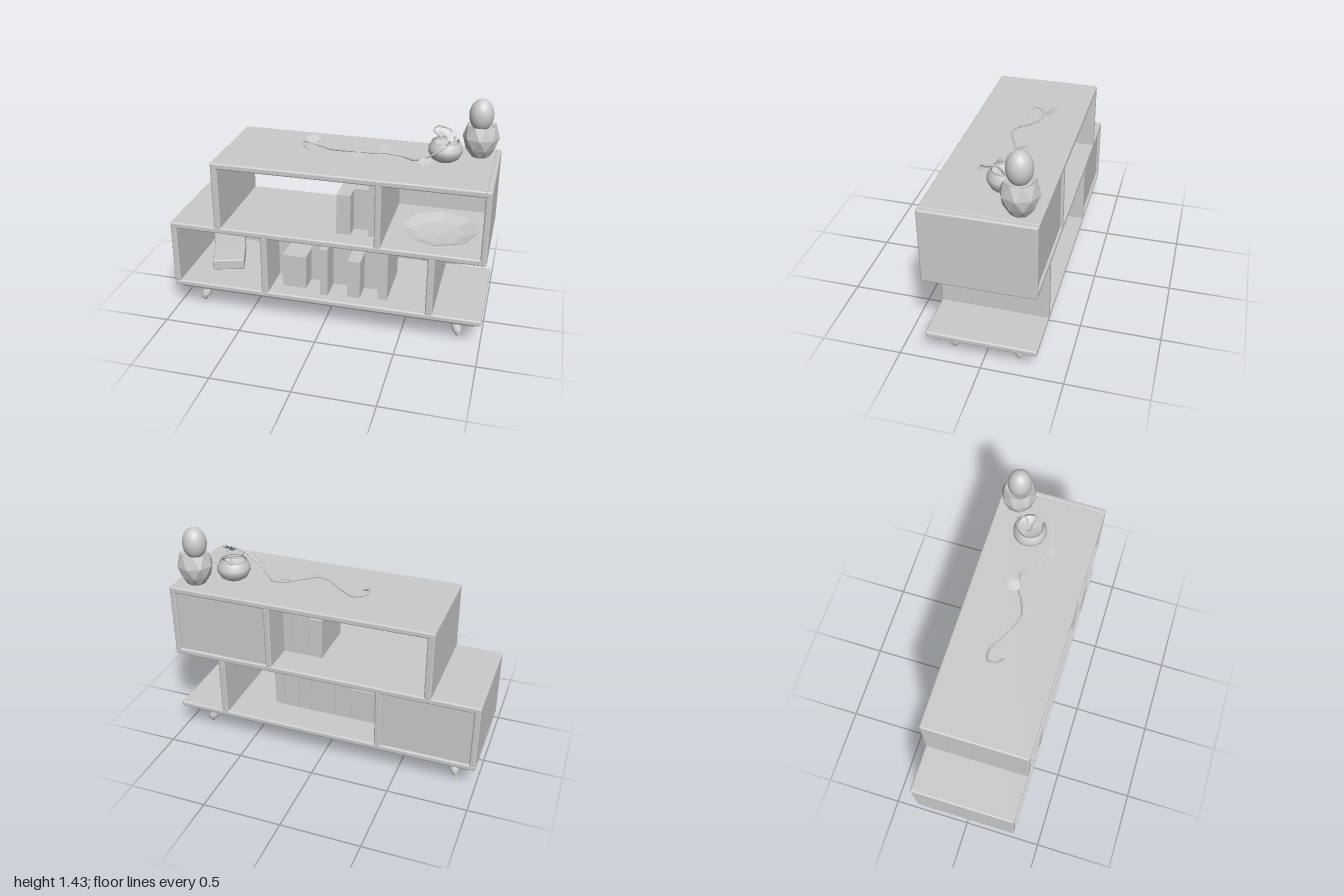
import * as THREE from 'three';
import { RoundedBoxGeometry } from 'three/addons/geometries/RoundedBoxGeometry.js';

const mat = new THREE.MeshStandardMaterial({ color: 0xcccccc });
const thin = new THREE.MeshStandardMaterial({ color: 0xcccccc, side: THREE.DoubleSide });
const faceted = new THREE.MeshStandardMaterial({ color: 0xcccccc, flatShading: true, side: THREE.DoubleSide });
const v = (x, y, z) => new THREE.Vector3(x, y, z);

export function createModel() {
  const model = new THREE.Group();
  model.name = 'shelfUnit';

  const add = (name, geometry, material = mat) => {
    const mesh = new THREE.Mesh(geometry, material);
    mesh.name = name;
    model.add(mesh);
    return mesh;
  };
  // Box given by its limits on each axis, with optional rounded edges
  const block = (name, x0, x1, y0, y1, z0, z1, r = 0) => {
    const size = [x1 - x0, y1 - y0, z1 - z0];
    const geo = r ? new RoundedBoxGeometry(...size, 2, r) : new THREE.BoxGeometry(...size);
    const mesh = add(name, geo);
    mesh.position.set((x0 + x1) / 2, (y0 + y1) / 2, (z0 + z1) / 2);
    return mesh;
  };
  const board = (name, x0, x1, y0, y1) => block(name, x0, x1, y0, y1, -0.34, 0.33, 0.011);

  // Horizontal boards and uprights
  board('baseBoard', -1, 1, 0.165, 0.203);
  board('middleShelf', -1, 1, 0.585, 0.625);
  board('topBoard', -0.7, 0.97, 1.025, 1.065);
  board('lowerLeftSide', -1, -0.96, 0.195, 0.6);
  board('lowerDivider', -0.4, -0.355, 0.195, 0.595);
  board('lowerRightSide', 0.655, 0.7, 0.195, 0.595);
  board('upperLeftSide', -0.7, -0.655, 0.615, 1.045);
  board('upperDivider', 0.325, 0.365, 0.615, 1.035);
  board('upperRightSide', 0.962, 1, 0.585, 1.065);

  // Back panels of the two closed compartments
  block('lowerBackPanel', -0.965, -0.39, 0.2, 0.59, -0.325, -0.31);
  block('upperBackPanel', 0.36, 0.965, 0.62, 1.03, -0.325, -0.31);

  // Plinth under the base, narrowing downward
  const plinth = new THREE.BoxGeometry(1.96, 0.034, 0.62).toNonIndexed();
  const pp = plinth.attributes.position;
  for (let i = 0; i < pp.count; i++) {
    if (pp.getY(i) < 0) pp.setXYZ(i, pp.getX(i) * 0.975, pp.getY(i), pp.getZ(i) * 0.945);
  }
  plinth.computeVertexNormals();
  add('plinth', plinth).position.set(0, 0.152, -0.005);

  // Splayed tapered legs
  const legProfile = [[0, 0], [0.017, 0], [0.03, 0.035], [0.037, 0.165], [0, 0.165]]
    .map(([r, y]) => new THREE.Vector2(r, y));
  const legGeo = new THREE.LatheGeometry(legProfile, 12);
  for (const sx of [-1, 1]) {
    for (const sz of [-1, 1]) {
      const leg = add((sz > 0 ? 'front' : 'back') + (sx > 0 ? 'Left' : 'Right') + 'Leg', legGeo);
      leg.position.set(sx * 0.863, 0.006, sz * 0.21 - 0.002);
      leg.quaternion.setFromUnitVectors(v(0, 1, 0), v(-sx * 0.062, 0.14, -sz * 0.068).normalize());
    }
  }

  // Rows of books: left, right, top, front
  const lowerBooks = [
    [-0.355, -0.29, 0.535, 0.08], [-0.288, -0.132, 0.43, 0.22], [-0.13, -0.027, 0.53, 0.1],
    [-0.025, 0.023, 0.53, 0.27], [0.025, 0.143, 0.495, 0.12], [0.145, 0.228, 0.46, 0.25],
    [0.23, 0.338, 0.47, 0.12], [0.34, 0.4, 0.545, 0.23]];
  const upperBooks = [[0.065, 0.153, 0.89, 0.21], [0.155, 0.26, 0.9, 0.12], [0.262, 0.327, 0.975, 0.2]];
  for (const [x0, x1, y1, z1] of lowerBooks) block('lowerBook', x0, x1, 0.2, y1, -0.13, z1);
  for (const [x0, x1, y1, z1] of upperBooks) block('upperBook', x0, x1, 0.622, y1, -0.13, z1);

  // Two boxes in the left compartment: one flat, one leaning
  const flat = add('flatBox', new RoundedBoxGeometry(0.21, 0.073, 0.21, 1, 0.008));
  flat.position.set(-0.735, 0.238, 0.02);
  flat.rotation.y = 0.3;
  const leaning = add('leaningBox', new RoundedBoxGeometry(0.21, 0.245, 0.05, 1, 0.008));
  leaning.position.set(-0.785, 0.33, -0.13);
  leaning.rotation.set(-0.22, 0.25, 0.04, 'YXZ');

  // Shallow dish
  const dish = [[0, 0.63], [0.09, 0.63], [0.16, 0.645], [0.25, 0.678], [0.245, 0.68], [0.155, 0.652], [0, 0.64]]
    .map(([r, y]) => new THREE.Vector2(r, y));
  add('dish', new THREE.LatheGeometry(dish, 8), faceted).position.set(0.69, 0, 0.09);

  // Round plant pot with soil
  const pot = [[0, 1.065], [0.055, 1.066], [0.085, 1.085], [0.105, 1.125], [0.104, 1.15], [0.085, 1.19],
    [0.076, 1.188], [0.09, 1.155], [0, 1.15]].map(([r, y]) => new THREE.Vector2(r, y));
  add('plantPot', new THREE.LatheGeometry(pot, 28), thin).position.set(0.675, 0, -0.08);

  // Faceted planter: twisted rings joined by triangles
  const rings = [[0.06, 1.065], [0.095, 1.12], [0.113, 1.19], [0.09, 1.266], [0.06, 1.25]];
  const sides = 8;
  const corner = (j, i) => {
    const a = ((i + (j % 2) / 2) / sides) * Math.PI * 2;
    return [Math.sin(a) * rings[j][0], rings[j][1], Math.cos(a) * rings[j][0]];
  };
  const tris = [];
  for (let i = 0; i < sides; i++) {
    tris.push(0, 1.065, 0, ...corner(0, i + 1), ...corner(0, i));
    tris.push(0, 1.25, 0, ...corner(4, i), ...corner(4, i + 1));
    for (let j = 0; j < rings.length - 1; j++) {
      const odd = j % 2;
      tris.push(...corner(j, i), ...corner(j, i + 1), ...corner(j + 1, i + odd));
      tris.push(...corner(j, i + 1 - odd), ...corner(j + 1, i + 1), ...corner(j + 1, i));
    }
  }
  const planter = new THREE.BufferGeometry();
  planter.setAttribute('position', new THREE.Float32BufferAttribute(tris, 3));
  planter.computeVertexNormals();
  add('facetedPlanter', planter, faceted).position.set(0.873, 0, -0.212);

  // Egg-shaped cactus
  const cactus = add('cactus', new THREE.SphereGeometry(0.075, 24, 16));
  cactus.scale.y = 1.35;
  cactus.position.set(0.866, 1.328, -0.207);

  // Trailing vine and curled stem
  const tube = (name, pts, n) => add(name,
    new THREE.TubeGeometry(new THREE.CatmullRomCurve3(pts.map((p) => v(...p))), n, 0.006, 6));
  tube('trailingVine', [
    [-0.16, 1.08, 0.01], [-0.21, 1.11, -0.03], [-0.2, 1.1, -0.08], [-0.13, 1.08, -0.09], [-0.04, 1.08, -0.04],
    [0.05, 1.1, 0.01], [0.13, 1.11, 0.03], [0.22, 1.1, 0], [0.32, 1.085, -0.05], [0.42, 1.074, -0.05],
    [0.5, 1.085, 0.02], [0.57, 1.12, 0.06], [0.66, 1.18, 0.065], [0.73, 1.225, 0.02],
    [0.73, 1.235, -0.04], [0.68, 1.15, -0.08]], 110);
  tube('curledStem', [
    [0.66, 1.15, -0.08], [0.72, 1.2, -0.12], [0.68, 1.24, -0.16], [0.61, 1.255, -0.14],
    [0.6, 1.245, -0.09], [0.65, 1.215, -0.06]], 40);

  // Pointed five-lobed leaf, base at the origin
  const outline = [[0, 0], [0.025, 0.02], [0.055, 0.065], [0.028, 0.058], [0.035, 0.1], [0.013, 0.065], [0, 0.12]];
  const mirrored = outline.slice(1, -1).reverse().map(([x, y]) => [-x, y]);
  const leafGeo = new THREE.ShapeGeometry(
    new THREE.Shape([...outline, ...mirrored].map(([x, y]) => new THREE.Vector2(x, y))));
  // Position, yaw, upward tilt, size
  const leaves = [
    [-0.17, 1.085, -0.09, 0.1, 0.45, 1], [0.16, 1.11, 0.03, 3.3, -0.1, 0.9], [0.29, 1.09, -0.03, -0.4, 0.4, 0.95],
    [0.58, 1.13, 0.05, 3.1, -0.35, 0.85], [0.72, 1.21, 0.0, 0, 0.75, 0.95], [0.65, 1.215, -0.08, 0.4, 0.2, 0.7]];
  for (const [x, y, z, yaw, tilt, size] of leaves) {
    const leaf = add('vineLeaf', leafGeo, thin);
    leaf.position.set(x, y, z);
    leaf.rotation.set(tilt - Math.PI / 2, yaw, 0, 'YXZ');
    leaf.scale.setScalar(size);
  }
  return model;
}
